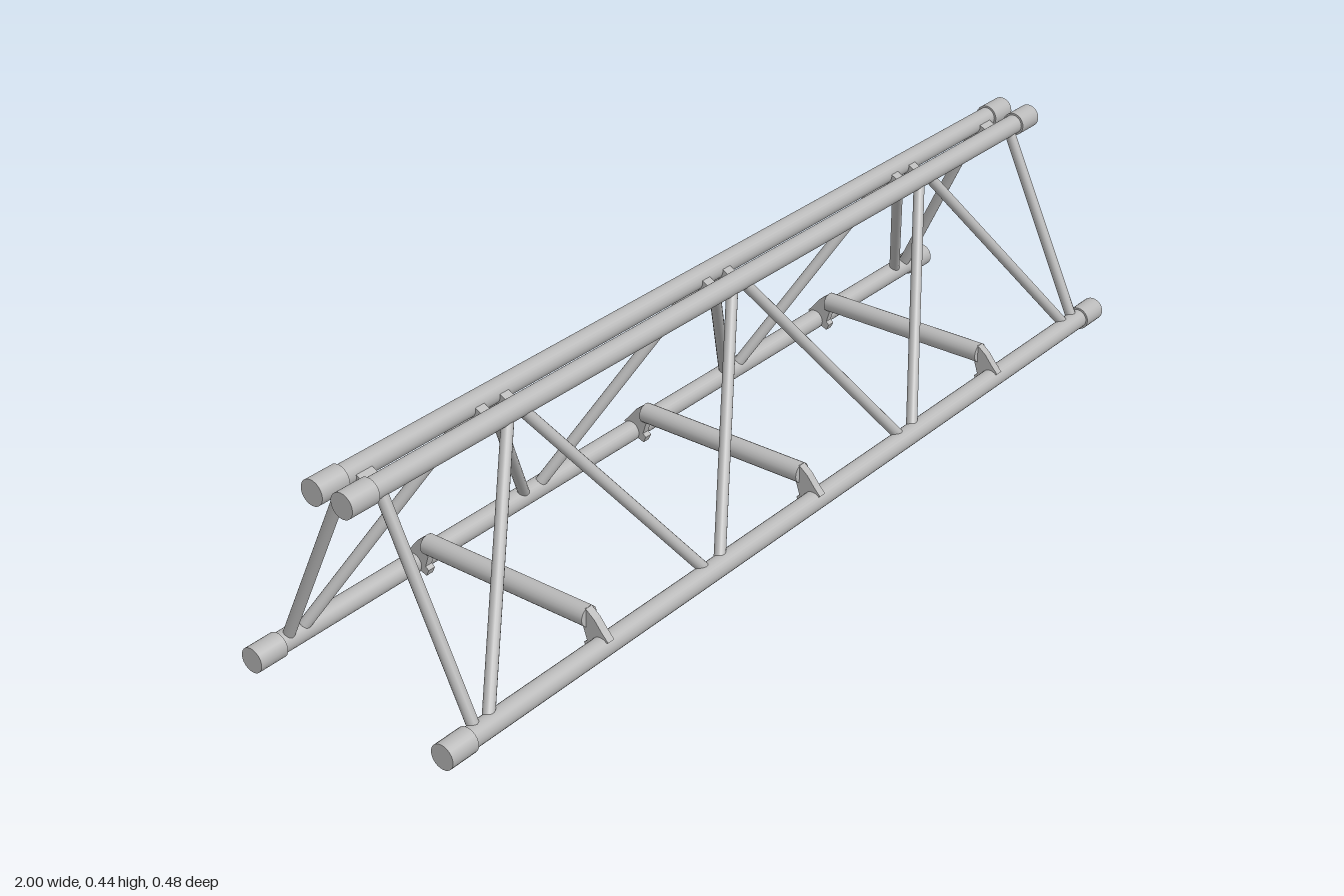
import * as THREE from 'three';

const TOP = { y: 0.418, z: 0.033 };
const BOTTOM = { y: 0.024, z: 0.218 };
const NODES = [-0.605, 0, 0.605];

export function createModel() {
  const truss = new THREE.Group();
  truss.name = 'truss';
  const metal = new THREE.MeshStandardMaterial({ color: 0xb8b8b8 });
  metal.name = 'grey metal';

  function add(name, geometry) {
    const mesh = new THREE.Mesh(geometry, metal);
    mesh.name = name;
    truss.add(mesh);
    return mesh;
  }

  // Round bar between two points
  function bar(name, a, b, radius, sides = 20) {
    const from = new THREE.Vector3(...a);
    const to = new THREE.Vector3(...b);
    const dir = to.clone().sub(from);
    const mesh = add(name, new THREE.CylinderGeometry(radius, radius, dir.length(), sides));
    mesh.position.copy(from).add(to).multiplyScalar(0.5);
    mesh.quaternion.setFromUnitVectors(new THREE.Vector3(0, 1, 0), dir.normalize());
    return mesh;
  }

  // Plate with a (z, y) outline and a width along x
  function plate(name, outline, width, x) {
    const shape = new THREE.Shape(outline.map(([z, y]) => new THREE.Vector2(z, y)));
    const geometry = new THREE.ExtrudeGeometry(shape, { depth: width, bevelEnabled: false });
    geometry.translate(0, 0, -width / 2).rotateY(-Math.PI / 2);
    const mesh = add(name, geometry);
    mesh.position.x = x;
    return mesh;
  }

  // Four long chords with end sleeves
  for (const side of [-1, 1]) {
    for (const { y, z } of [TOP, BOTTOM]) {
      bar('chord', [-0.99, y, side * z], [0.99, y, side * z], 0.02, 24);
      for (const end of [-1, 1]) {
        bar('endSleeve', [end * 0.94, y, side * z], [end, y, side * z], 0.024, 24);
      }
    }
  }

  // Sloping side frames: end posts and zigzag braces
  for (const side of [-1, 1]) {
    const brace = (name, xLow, xHigh) => bar(name,
      [xLow, BOTTOM.y, side * BOTTOM.z], [xHigh, TOP.y, side * TOP.z], 0.011, 16);
    for (const dir of [-1, 1]) {
      brace('endPost', dir * 0.92, dir * 0.92);
      for (const x of NODES) brace('diagonalBrace', x + dir * 0.288, x + dir * 0.012);
    }
  }

  // Cross tubes, each held by a hooked bracket on both lower chords
  const bracket = [
    [0.235, 0.04], [0.222, 0.054], [0.205, 0.075], [0.186, 0.09], [0.18, 0.052],
    [0.188, 0.027], [0.181, 0.021], [0.187, 0.008], [0.2, 0.013], [0.21, 0.025],
  ];
  for (const x of NODES) {
    bar('crossTube', [x, 0.071, -0.187], [x, 0.071, 0.187], 0.0195);
    plate('frontBracket', bracket, 0.016, x);
    plate('backBracket', bracket, 0.016, x).rotation.y = Math.PI;
  }

  // Hinge knuckles joining the two upper chords
  const knuckle = [
    [0.02, 0.425], [0, 0.414], [-0.02, 0.425], [-0.024, 0.398],
    [-0.01, 0.391], [0, 0.387], [0.01, 0.391], [0.024, 0.398],
  ];
  for (const dir of [-1, 1]) {
    for (const x of NODES) plate('hingeKnuckle', knuckle, 0.022, x + dir * 0.03);
    plate('endHingeKnuckle', knuckle, 0.036, dir * 0.904);
  }

  return truss;
}
